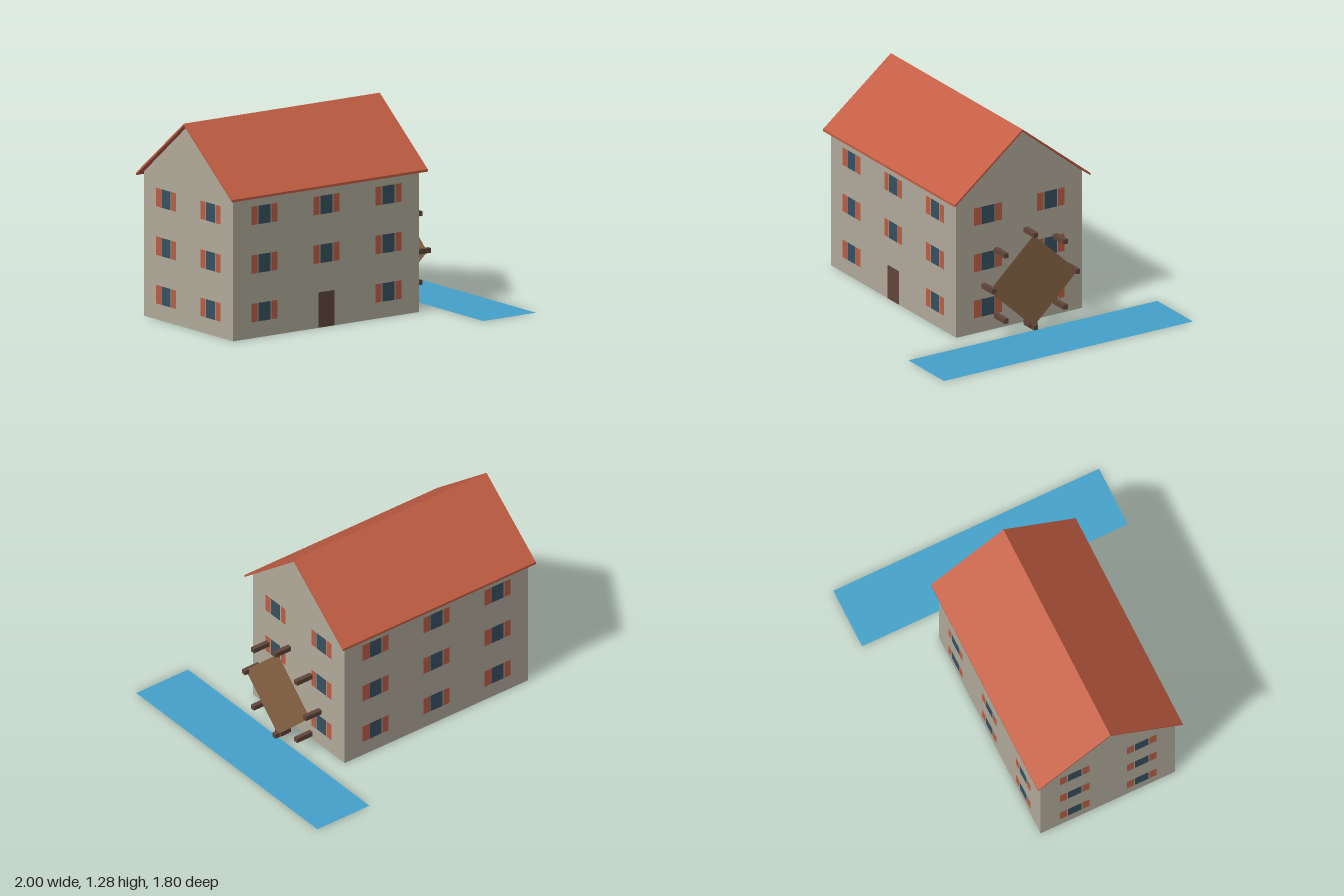
import * as THREE from 'three';

export function createModel() {
  const model = new THREE.Group();
  model.name = 'waterMill';

  const material = (name, color, side = THREE.FrontSide) => {
    const m = new THREE.MeshStandardMaterial({ color, side, flatShading: true });
    m.name = name;
    return m;
  };
  const wallStone = material('wallStone', 0xb0aa9a, THREE.DoubleSide);
  const roofTile = material('roofTile', 0xc25d43);
  const shutterRed = material('shutterRed', 0xbb5e45);
  const windowGlass = material('windowGlass', 0x375060);
  const darkWood = material('darkWood', 0x61453a);
  const wheelWood = material('wheelWood', 0x896545, THREE.DoubleSide);
  const water = material('water', 0x44a1cb, THREE.DoubleSide);

  const add = (parent, name, geometry, mat, x = 0, y = 0, z = 0) => {
    const mesh = new THREE.Mesh(geometry, mat);
    mesh.name = name;
    mesh.position.set(x, y, z);
    parent.add(mesh);
    return mesh;
  };
  const polygon = (points) => new THREE.Shape(points.map(([x, y]) => new THREE.Vector2(x, y)));

  // House dimensions
  const centreX = -0.26, halfLength = 0.705, halfDepth = 0.455;
  const wallTop = 0.9, peak = 1.267;

  // Hollow walls, open underneath
  const house = new THREE.Group();
  house.name = 'house';
  house.position.x = centreX;
  model.add(house);
  const longWall = new THREE.PlaneGeometry(halfLength * 2, wallTop);
  const gable = new THREE.ShapeGeometry(polygon([
    [-halfDepth, 0], [halfDepth, 0], [halfDepth, wallTop], [0, peak], [-halfDepth, wallTop],
  ]));

  // One window: a pane between two shutters
  const pane = new THREE.PlaneGeometry(0.092, 0.115);
  const shutter = new THREE.PlaneGeometry(0.048, 0.115);
  const addWindow = (wall, x, y) => {
    const group = new THREE.Group();
    group.name = 'window';
    group.position.set(x, y, 0.003);
    add(group, 'pane', pane, windowGlass);
    for (const side of [-1, 1]) add(group, 'shutter', shutter, shutterRed, side * 0.076);
    wall.add(group);
  };

  // Four walls, each facing its own +z before turning
  const rows = [0.158, 0.46, 0.763];
  for (let i = 0; i < 4; i++) {
    const isLong = i % 2 === 0;
    const wall = new THREE.Group();
    wall.name = ['frontWall', 'leftWall', 'backWall', 'rightWall'][i];
    wall.rotation.y = i * Math.PI / 2;
    const face = new THREE.Group();
    face.name = 'wallFace';
    face.position.z = isLong ? halfDepth : halfLength;
    wall.add(face);
    if (isLong) add(face, 'wallPanel', longWall, wallStone, 0, wallTop / 2);
    else add(face, 'gablePanel', gable, wallStone);
    const columns = isLong ? [-0.47, 0, 0.47] : [-0.227, 0.227];
    rows.forEach((y, row) => columns.forEach((x) => {
      const isDoor = i === 0 && row === 0 && x === 0;
      if (isDoor) add(face, 'door', new THREE.PlaneGeometry(0.125, 0.22), darkWood, 0, 0.111, 0.003);
      else addWindow(face, x, y);
    }));
    house.add(wall);
  }

  // Thin pitched roof, a chevron swept along x
  const roof = new THREE.ExtrudeGeometry(polygon([
    [-0.49, 0.875], [0, 1.267], [0.49, 0.875], [0.49, 0.89], [0, 1.281], [-0.49, 0.89],
  ]), { depth: 1.484, bevelEnabled: false });
  roof.rotateY(Math.PI / 2);
  add(model, 'roof', roof, roofTile, -1, 0, 0);

  // Mill wheel: diamond plate, eight paddles and a post
  const wheel = new THREE.Group();
  wheel.name = 'millWheel';
  wheel.position.set(0.576, 0.335, 0);
  model.add(wheel);
  const disc = new THREE.ShapeGeometry(polygon([[-0.32, -0.005], [0, -0.305], [0.32, -0.005], [0, 0.293]]));
  disc.rotateY(Math.PI / 2);
  add(wheel, 'wheelPlate', disc, wheelWood, 0.031);
  const paddle = new THREE.BoxGeometry(0.12, 0.03, 0.03);
  for (let i = 0; i < 8; i++) {
    const a = i * Math.PI / 4;
    add(wheel, 'paddle', paddle, darkWood, 0, Math.sin(a) * 0.303, Math.cos(a) * 0.303);
  }
  add(wheel, 'post', new THREE.BoxGeometry(0.06, 0.308, 0.06), darkWood, 0, -0.154, 0);

  // Stream beside the house
  const stream = new THREE.PlaneGeometry(0.4, 1.8);
  stream.rotateX(-Math.PI / 2);
  add(model, 'stream', stream, water, 0.8, 0.001, 0);

  return model;
}
